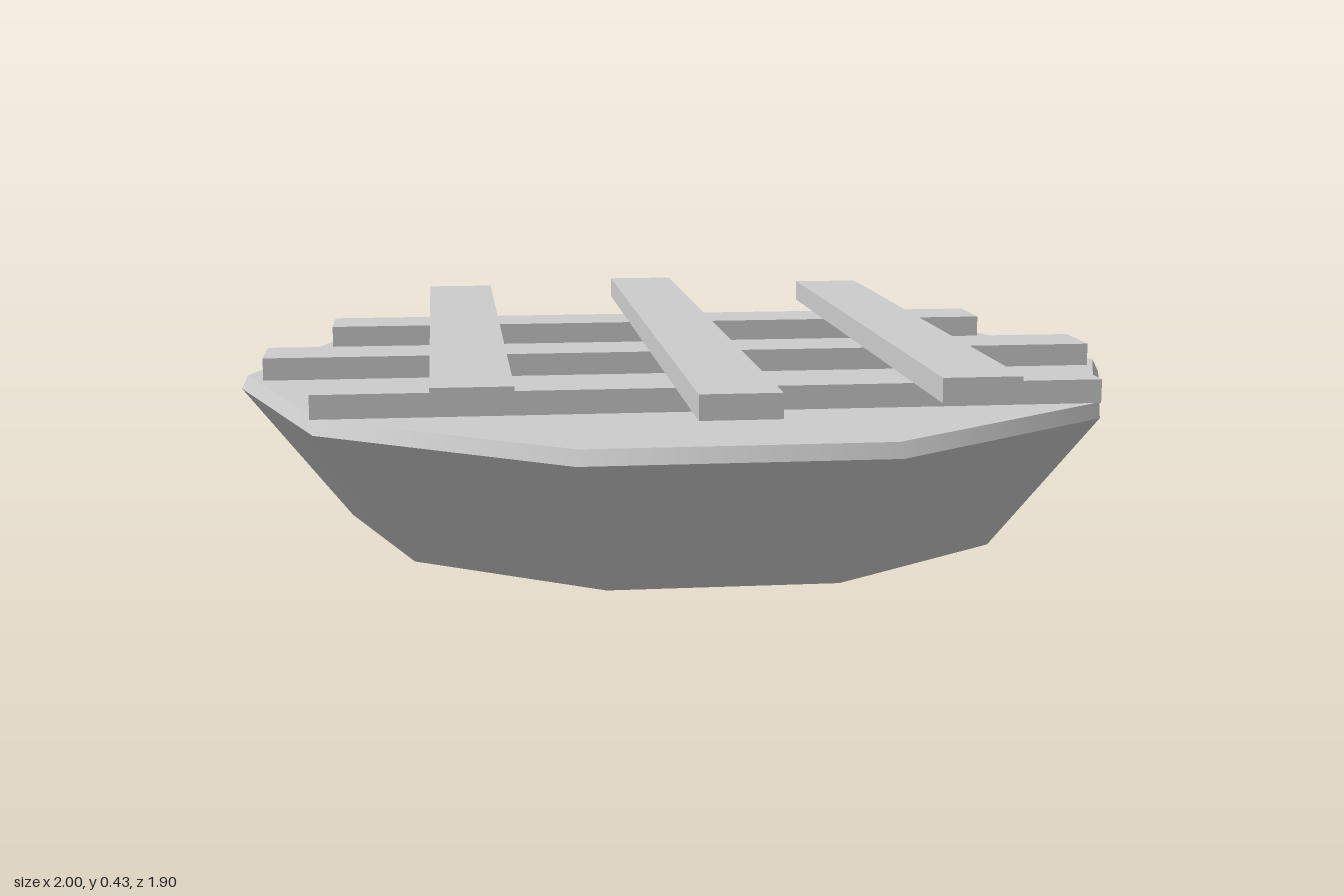
import * as THREE from 'three';

export function createModel() {
  const pie = new THREE.Group();
  pie.name = 'pie';
  const grey = new THREE.MeshStandardMaterial({ color: 0xcccccc });
  grey.name = 'light grey';

  function add(name, geometry, x, y, z) {
    const mesh = new THREE.Mesh(geometry, grey);
    mesh.name = name;
    mesh.position.set(x, y, z);
    pie.add(mesh);
  }

  // Ten-sided tapered drum with corners on the x axis
  const drum = (top, bottom, height) =>
    new THREE.CylinderGeometry(top, bottom, height, 10, 1, false, Math.PI / 2);

  add('dish', drum(1, 0.76, 0.3), 0, 0.15, 0);
  add('crust', drum(0.985, 1, 0.03), 0, 0.315, 0);

  // Lattice: three strips across, three strips on top running front to back
  const width = 0.16, thick = 0.05;
  for (const side of [-1, 0, 1]) {
    const offset = side * 0.495;
    const length = side === 0 ? 1.89 : 1.63;
    add('crossStrip', new THREE.BoxGeometry(length, thick, width), 0, 0.355, offset);
    add('topStrip', new THREE.BoxGeometry(width, thick, length), offset, 0.405, 0);
  }
  return pie;
}
